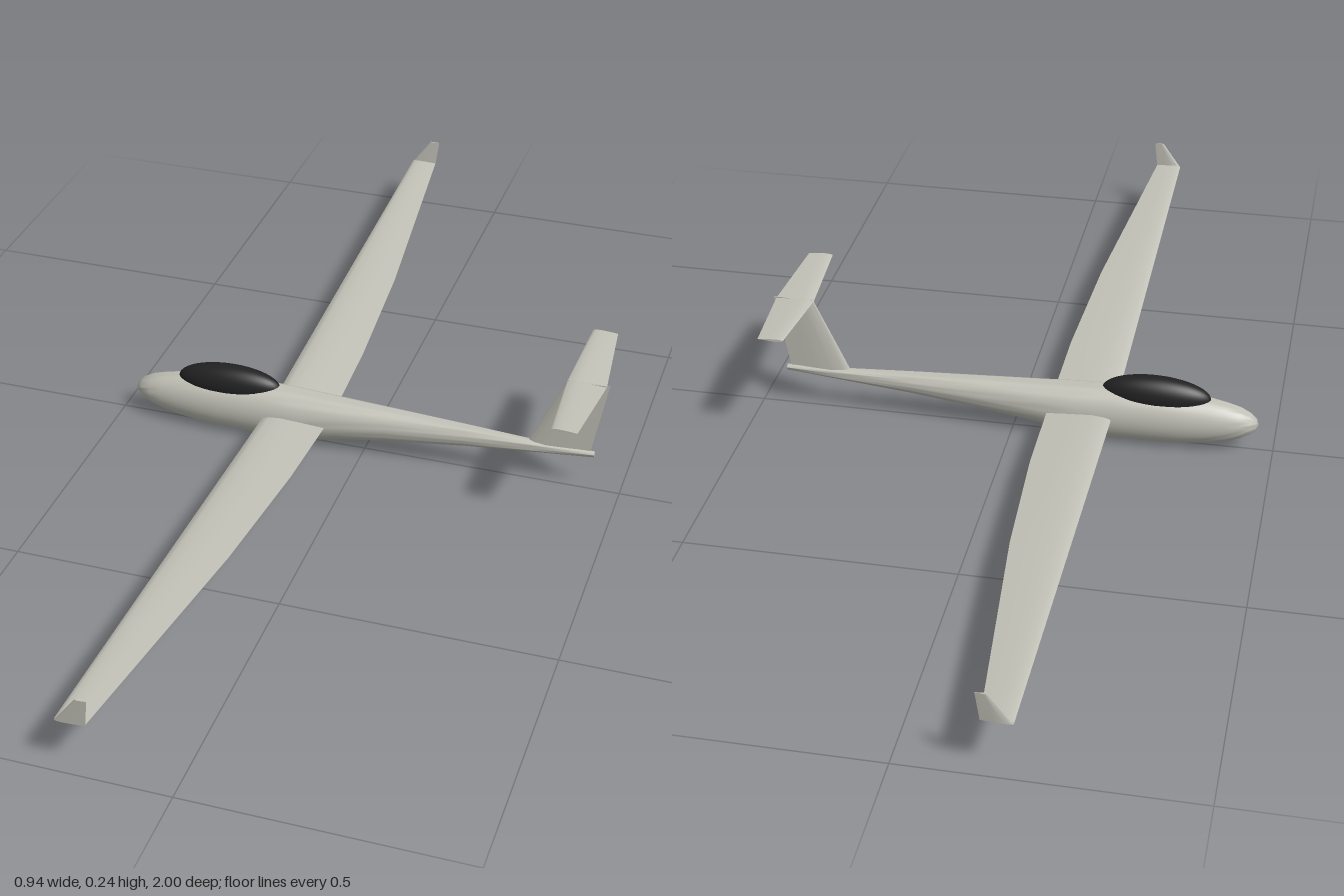
import * as THREE from 'three';
import { toCreasedNormals } from 'three/addons/utils/BufferGeometryUtils.js';

const white = new THREE.MeshStandardMaterial({ color: 0xc2c2b8 });
white.name = 'warm white';
const glass = new THREE.MeshStandardMaterial({ color: 0x222222 });
glass.name = 'dark canopy';

// Skin a row of closed rings (arrays of [x, y, z]) and cap both ends.
function loft(rings, crease = 0.6) {
  const n = rings[0].length, pos = rings.flat(2), idx = [];
  for (let r = 0; r < rings.length - 1; r++) {
    for (let i = 0; i < n; i++) {
      const a = r * n + i, b = r * n + (i + 1) % n;
      idx.push(a, b, b + n, a, b + n, a + n);
    }
  }
  const last = (rings.length - 1) * n;
  for (let i = 1; i < n - 1; i++) {
    idx.push(0, i + 1, i, last, last + i, last + i + 1);
  }
  // Turn the faces outward if the enclosed volume comes out negative.
  const p = (i) => new THREE.Vector3().fromArray(pos, i * 3);
  let volume = 0;
  for (let i = 0; i < idx.length; i += 3) {
    volume += p(idx[i]).dot(p(idx[i + 1]).cross(p(idx[i + 2])));
  }
  if (volume < 0) idx.reverse();
  const geo = new THREE.BufferGeometry();
  geo.setAttribute('position', new THREE.Float32BufferAttribute(pos, 3));
  geo.setIndex(idx);
  return toCreasedNormals(geo, crease);
}

// Closed airfoil outline: [chord fraction, thickness fraction from -0.5 to 0.5].
const half = [[0.03, 0.22], [0.12, 0.4], [0.3, 0.5], [0.6, 0.34]];
const foil = [[0, 0], ...half, [1, 0.03], [1, -0.03],
  ...half.map(([c, t]) => [c, -t]).reverse()];

// Airfoil ring from x0 to x1; flat rings lie along z, upright ones along y.
const flatRing = (x0, x1, y, z, t) => foil.map(([c, h]) => [x0 + c * (x1 - x0), y + h * t, z]);
const uprightRing = (x0, x1, y, z, t) => foil.map(([c, h]) => [x0 + c * (x1 - x0), y, z + h * t]);

export function createModel() {
  const model = new THREE.Group();
  model.name = 'glider';
  const add = (name, geo, mat = white) => {
    const mesh = new THREE.Mesh(geo, mat);
    mesh.name = name;
    model.add(mesh);
    return mesh;
  };

  // Fuselage stations: x, bottom, top, half width
  const stations = [
    [-0.47, 0.054, 0.056, 0.001], [-0.466, 0.044, 0.066, 0.01], [-0.455, 0.034, 0.076, 0.018],
    [-0.435, 0.024, 0.086, 0.026], [-0.41, 0.016, 0.093, 0.031], [-0.375, 0.009, 0.1, 0.036],
    [-0.33, 0.003, 0.105, 0.04], [-0.29, 0.001, 0.108, 0.042], [-0.2, 0, 0.11, 0.043],
    [-0.125, 0, 0.108, 0.041], [-0.05, 0.017, 0.104, 0.036], [0.05, 0.032, 0.1, 0.029],
    [0.2, 0.05, 0.094, 0.018], [0.33, 0.062, 0.088, 0.01], [0.448, 0.073, 0.085, 0.005],
  ];
  add('fuselage', loft(stations.map(([x, bottom, top, w]) =>
    Array.from({ length: 32 }, (_, i) => {
      const a = i / 32 * Math.PI * 2;
      return [x, (bottom + top) / 2 + Math.sin(a) * (top - bottom) / 2, Math.cos(a) * w];
    })), 1));

  // Canopy bubble
  const canopy = add('canopy', new THREE.SphereGeometry(1, 40, 24), glass);
  canopy.scale.set(0.104, 0.037, 0.031);
  canopy.position.set(-0.275, 0.1, 0);
  canopy.rotation.z = 0.03;

  // Wings, winglets and tailplane halves
  for (const [side, s] of [['left', 1], ['right', -1]]) {
    add(side + 'Wing', loft([
      flatRing(-0.195, -0.07, 0.054, 0, 0.016),
      flatRing(-0.195, -0.074, 0.066, s * 0.22, 0.014),
      flatRing(-0.195, -0.091, 0.081, s * 0.5, 0.011),
      flatRing(-0.195, -0.142, 0.107, s * 0.995, 0.006),
    ]));
    add(side + 'Winglet', loft([
      uprightRing(-0.195, -0.142, 0.105, s * 0.995, 0.006),
      uprightRing(-0.155, -0.135, 0.159, s * 0.998, 0.003),
    ]));
    add(side + 'Tailplane', loft([
      flatRing(0.388, 0.462, 0.23, 0, 0.008),
      flatRing(0.398, 0.446, 0.239, s * 0.175, 0.005),
    ]));
  }

  // Swept tail fin
  add('fin', loft([
    uprightRing(0.32, 0.44, 0.083, 0, 0.012),
    uprightRing(0.39, 0.468, 0.233, 0, 0.008),
  ]));
  return model;
}
